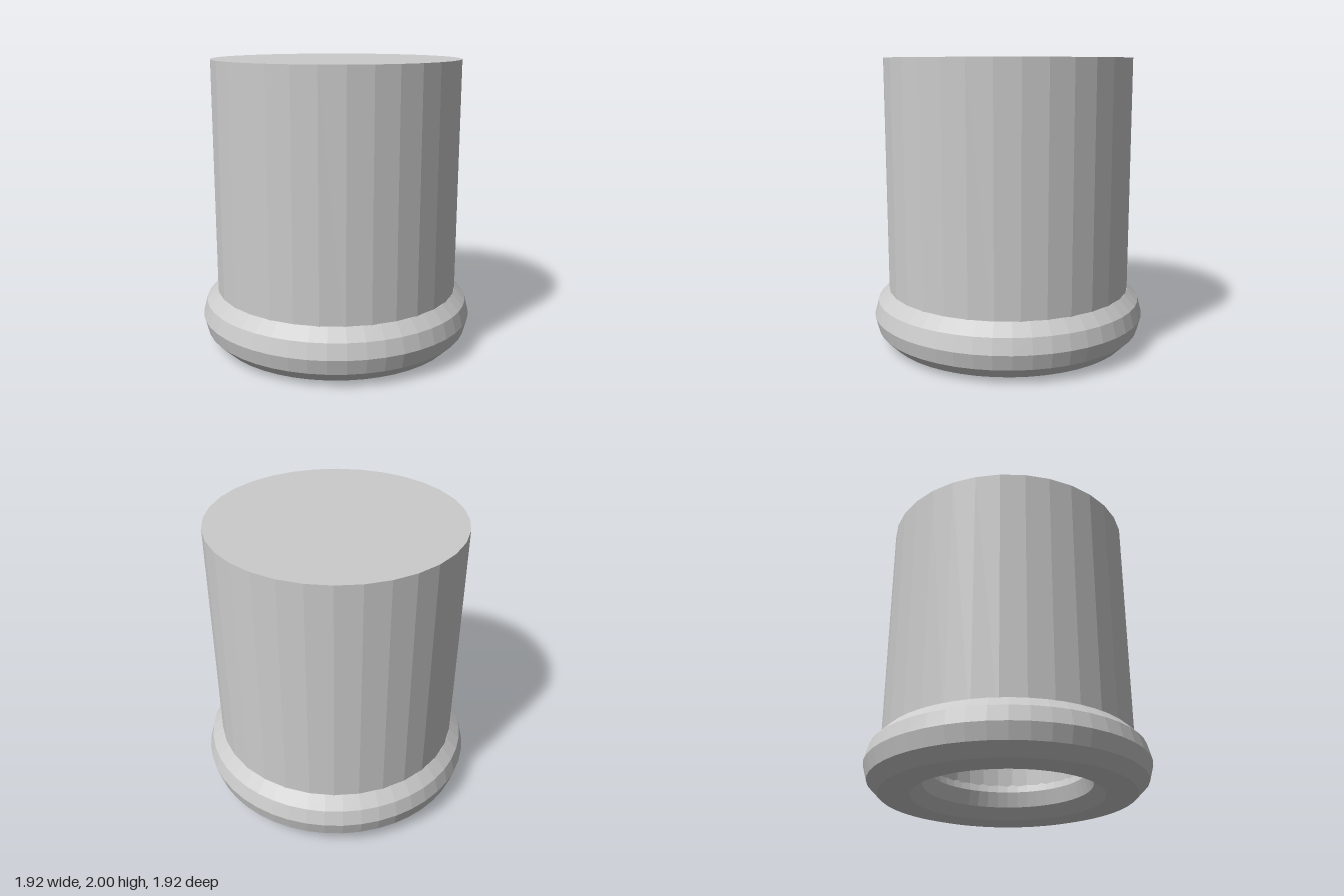
import * as THREE from 'three';

export function createModel() {
  const model = new THREE.Group();
  const material = new THREE.MeshStandardMaterial({ color: 0xcccccc, flatShading: true });

  const add = (name, geometry) => {
    const mesh = new THREE.Mesh(geometry, material);
    mesh.name = name;
    model.add(mesh);
    return mesh;
  };

  // Cup-shaped body: closed flat top, thick wall, hollow from below
  const outer = 0.855, inner = 0.555, top = 2, ceiling = 1.7, base = 0.21;
  const profile = [
    [0, ceiling], [inner, ceiling], [inner, base],
    [outer, base], [outer, top], [0, top],
  ].map(([r, y]) => new THREE.Vector2(r, y));
  add('body', new THREE.LatheGeometry(profile, 32));

  // Rounded ring around the open lower end
  const tube = 0.21;
  const ring = new THREE.TorusGeometry(0.75, tube, 12, 48);
  ring.rotateX(Math.PI / 2);
  add('baseRing', ring).position.y = tube;

  return model;
}
